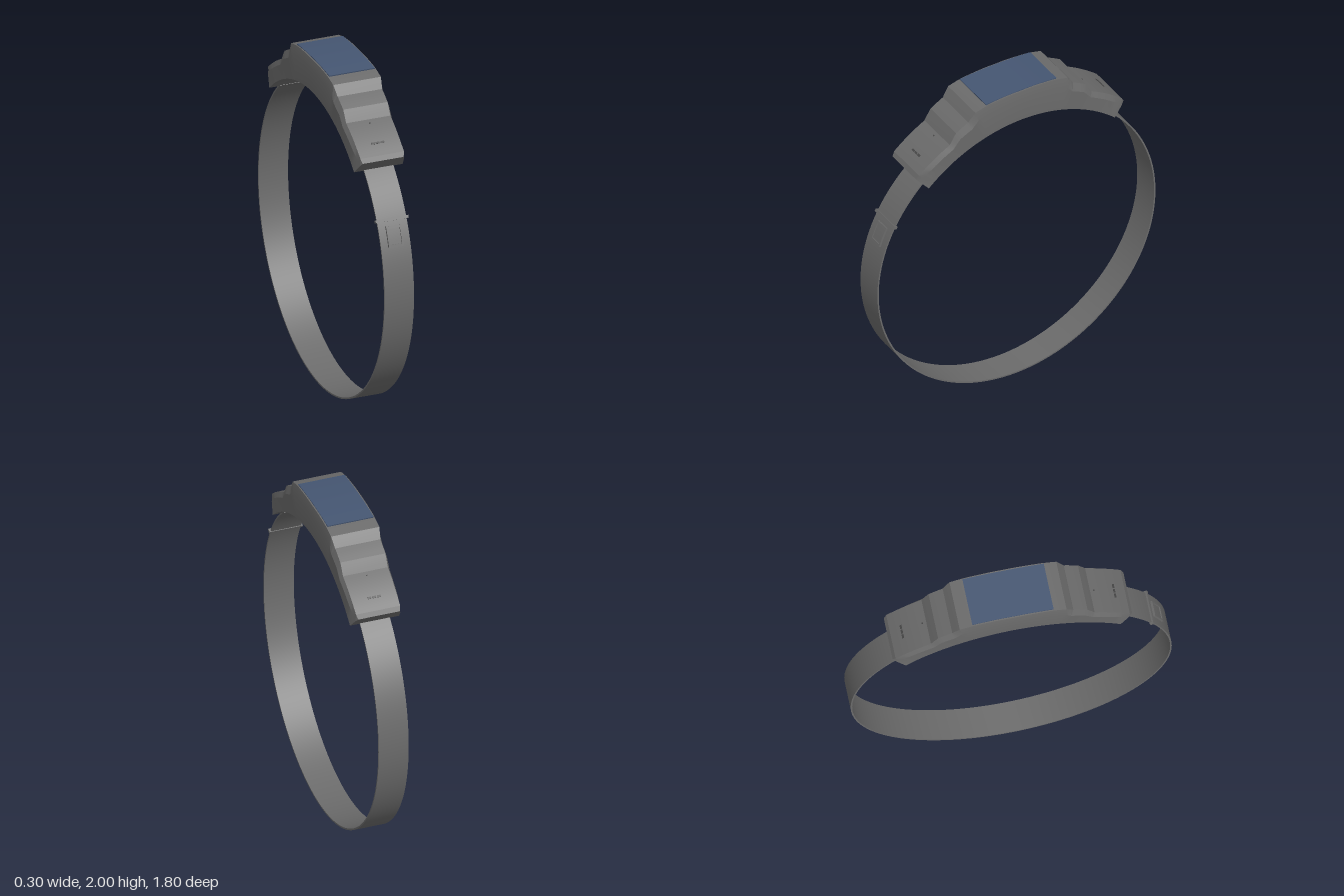
import * as THREE from 'three';
import { toCreasedNormals } from 'three/addons/utils/BufferGeometryUtils.js';

const CENTER_Y = 0.905;
const RAD = Math.PI / 180;

// Sweeps a closed [x, radius] section around the x axis; angles (degrees) run from the top toward +z.
function sweep(angles, section) {
  const pos = [], index = [];
  const n = section(angles[0]).length;
  for (const a of angles) {
    for (const [x, r] of section(a)) {
      pos.push(x, CENTER_Y + r * Math.cos(a * RAD), r * Math.sin(a * RAD));
    }
  }
  for (let i = 0; i < angles.length - 1; i++) {
    for (let j = 0; j < n; j++) {
      const a = i * n + j, b = i * n + (j + 1) % n;
      index.push(a, b, b + n, a, b + n, a + n);
    }
  }
  const last = (angles.length - 1) * n;
  for (let j = 1; j < n - 1; j++) {
    index.push(0, j + 1, j, last, last + j, last + j + 1);
  }
  const g = new THREE.BufferGeometry();
  g.setAttribute('position', new THREE.Float32BufferAttribute(pos, 3));
  g.setIndex(index);
  return toCreasedNormals(g, 0.25);
}

const range = (a, b, n) => Array.from({ length: n + 1 }, (_, i) => a + (b - a) * i / n);
const rect = (x0, x1, r0, r1) => [[x1, r0], [x1, r1], [x0, r1], [x0, r0]];

// Piecewise linear lookup in a list of [key, value]
function lookup(table, k) {
  for (let i = 1; i < table.length; i++) {
    const [k0, v0] = table[i - 1], [k1, v1] = table[i];
    if (k <= k1) return v0 + (v1 - v0) * (k - k0) / (k1 - k0);
  }
  return table[table.length - 1][1];
}

// Stepped outer radius and top half width of the case, by angle from the middle
const OUTER = [[0, 1.09], [7.3, 1.096], [11.5, 1.102], [15.8, 1.102], [18.7, 1.061],
  [23.6, 1.048], [27.2, 1.006], [40.8, 1.007], [42.4, 0.998]];
const TOP_WIDTH = [[0, 0.144], [15.8, 0.142], [18.7, 0.133], [40.8, 0.13], [42.4, 0.122]];
const MID_WIDTH = [[0, 0.151], [20, 0.15], [37, 0.143], [42.4, 0.132]];

export function createModel() {
  const group = new THREE.Group();
  const grey = new THREE.MeshStandardMaterial({ color: 0x6b6b6b });
  grey.name = 'grey casing';
  const blue = new THREE.MeshStandardMaterial({ color: 0x455672 });
  blue.name = 'blue display';
  const dark = new THREE.MeshStandardMaterial({ color: 0x484848 });
  dark.name = 'dark slots';

  const add = (name, geometry, material) => {
    const mesh = new THREE.Mesh(geometry, material);
    mesh.name = name;
    group.add(mesh);
  };
  const plate = (name, material, x0, x1, a0, a1, r0, r1, n = 4) =>
    add(name, sweep(range(a0, a1, n), () => rect(x0, x1, r0, r1)), material);

  // Case: stations at every profile break, with finer ones between
  const half = [0];
  for (let i = 1; i < OUTER.length; i++) {
    const a = OUTER[i - 1][0], b = OUTER[i][0];
    half.push(...range(a, b, Math.ceil((b - a) / 2)).slice(1));
  }
  const angles = [...half.slice(1).reverse().map(a => -a), ...half];
  add('case', sweep(angles, a => {
    const k = Math.abs(a);
    const ro = lookup(OUTER, k), ri = 0.895;
    const wt = lookup(TOP_WIDTH, k), wm = lookup(MID_WIDTH, k);
    const rm = ri + (ro - ri) * 0.72;
    return [[0.145, ri], [wm, rm], [wt, ro], [-wt, ro], [-wm, rm], [-0.145, ri]];
  }), grey);

  // Gently curved display on top
  add('display', sweep(range(-11.9, 11.9, 16), a => {
    const c = Math.cos(a * RAD);
    const y = 2 - 0.01 * (a / 11.9) ** 2;
    const r = (y - CENTER_Y) / c;
    return rect(-0.136, 0.136, r - 0.009, r);
  }), blue);

  // Band closing the circle below the case
  plate('band', grey, -0.088, 0.088, 41.5, 318.5, 0.893, 0.902, 120);

  // Small slots and pinholes at both ends of the case
  for (const s of [-1, 1]) {
    for (const x of [-0.028, 0, 0.028]) {
      plate('slot', dark, x - 0.011, x + 0.011, s * 36.3 - 0.35, s * 36.3 + 0.35, 1.003, 1.0085, 1);
    }
    plate('pinhole', dark, -0.004, 0.004, s * 28.6 - 0.2, s * 28.6 + 0.2, 1.003, 1.0075, 1);
  }

  // Keeper loop across the band
  plate('keeperLoop', grey, -0.098, 0.098, 60.9, 61.9, 0.889, 0.912, 1);

  // Rectangular buckle frame below the loop
  for (const s of [-1, 1]) {
    plate('buckleSide', grey, s * 0.04 - 0.005, s * 0.04 + 0.005, 63.6, 71.2, 0.9, 0.914);
    const a = 67.4 + s * 3.3;
    plate('buckleBar', grey, -0.036, 0.036, a - 0.45, a + 0.45, 0.9, 0.914, 1);
  }
  plate('bucklePlate', grey, -0.036, 0.036, 64.4, 70.4, 0.9, 0.908);

  return group;
}
